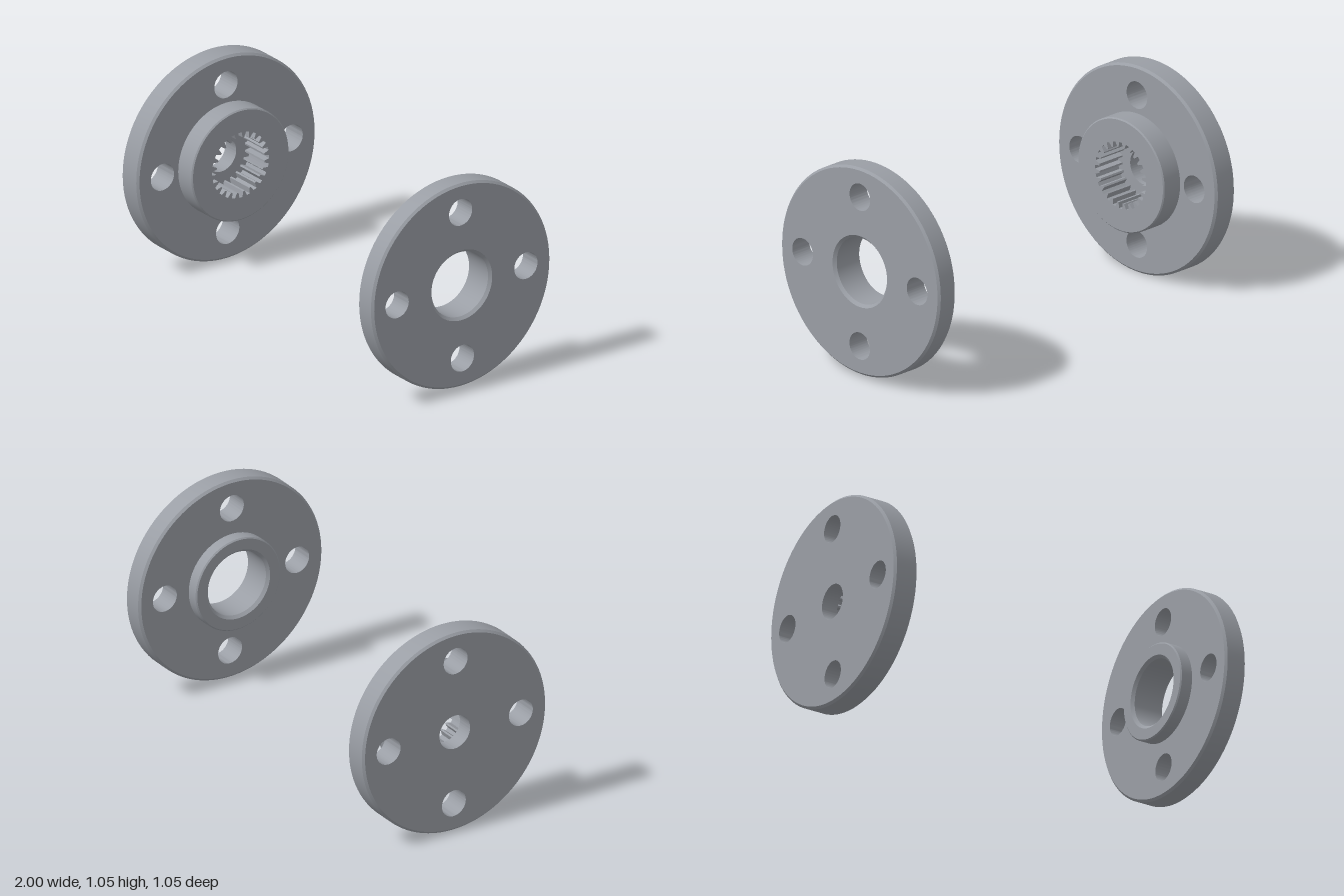
import * as THREE from 'three';
import { toCreasedNormals } from 'three/addons/utils/BufferGeometryUtils.js';

const TAU = Math.PI * 2;

// Closed circular path
function circle(r, cx = 0, cy = 0) {
  return new THREE.Path().absarc(cx, cy, r, 0, TAU, true);
}

// Internal spline outline: flat-topped teeth pointing inwards
function spline(root, tip, teeth) {
  const pts = [];
  const corners = [[-0.2, root], [0.2, root], [0.38, tip], [0.62, tip]];
  for (let i = 0; i < teeth; i++) {
    for (const [f, r] of corners) {
      const a = Math.PI / 2 + ((i + f) / teeth) * TAU;
      pts.push(new THREE.Vector2(Math.cos(a) * r, Math.sin(a) * r));
    }
  }
  return new THREE.Path(pts);
}

export function createModel() {
  const steel = new THREE.MeshStandardMaterial({ color: 0x9a9ea5 });
  steel.name = 'steel grey';

  const DISC_R = 0.514, EDGE = 0.011;
  const BOLT_CIRCLE = 0.371, BOLT_R = 0.067;

  function add(parent, name, geometry) {
    const mesh = new THREE.Mesh(toCreasedNormals(geometry, 0.5), steel);
    mesh.name = name;
    parent.add(mesh);
  }

  // Pierced round plate spanning x0..x1 along the axis
  function plate(parent, name, r, x0, x1, bore, bolted) {
    const shape = new THREE.Shape().absarc(0, 0, r, 0, TAU, false);
    shape.holes.push(bore);
    if (bolted) {
      for (let i = 0; i < 4; i++) {
        const a = (i * Math.PI) / 2;
        shape.holes.push(circle(BOLT_R, Math.cos(a) * BOLT_CIRCLE, Math.sin(a) * BOLT_CIRCLE));
      }
    }
    const g = new THREE.ExtrudeGeometry(shape, { depth: x1 - x0, bevelEnabled: false, curveSegments: 48 });
    g.rotateY(Math.PI / 2);
    g.translate(x0, 0, 0);
    add(parent, name, g);
  }

  // Surface turned around the axis from [radius, x] points
  function turned(parent, name, points) {
    const g = new THREE.LatheGeometry(points.map(([r, x]) => new THREE.Vector2(r, x)), 96);
    g.rotateZ(-Math.PI / 2);
    add(parent, name, g);
  }

  // Outer rim with chamfers c0 and c1 at its two ends
  function rim(parent, name, r, x0, x1, c0, c1) {
    turned(parent, name, [[r - c0, x0], [r, x0 + c0], [r, x1 - c1], [r - c1, x1]]);
  }

  const model = new THREE.Group();
  model.name = 'flangePair';

  // Splined flange: plain floor around a small hole, splined socket in the hub
  const splined = new THREE.Group();
  splined.name = 'splinedFlange';
  const sx = [-0.995, -0.91, -0.866, -0.757];
  const teeth = () => spline(0.165, 0.138, 24);
  plate(splined, 'splinedDiscFloor', DISC_R - EDGE, sx[0], sx[1], circle(0.086), true);
  plate(splined, 'splinedDiscFace', DISC_R - EDGE, sx[1], sx[2], teeth(), true);
  plate(splined, 'splinedHub', 0.274, sx[2], sx[3], teeth(), false);
  rim(splined, 'splinedDiscRim', DISC_R, sx[0], sx[2], EDGE, EDGE);
  rim(splined, 'splinedHubRim', 0.28, sx[2] - 0.001, sx[3], 0, 0.006);

  // Plain flange: smooth bore chamfered at both ends
  const plain = new THREE.Group();
  plain.name = 'plainFlange';
  const px = [0.812, 0.875, 0.99];
  const boreR = 0.163, mouthR = 0.177, c = mouthR - boreR;
  plate(plain, 'plainDisc', DISC_R - EDGE, px[1], px[2], circle(mouthR), true);
  plate(plain, 'plainHub', 0.231, px[0], px[1], circle(mouthR), false);
  rim(plain, 'plainDiscRim', DISC_R, px[1], px[2], EDGE, EDGE);
  rim(plain, 'plainHubRim', 0.237, px[0], px[1] + 0.001, 0.006, 0);
  turned(plain, 'plainBore', [[mouthR, px[2]], [boreR, px[2] - c], [boreR, px[0] + c], [mouthR, px[0]]]);

  // Both flanges share one slightly tilted axis
  const axis = new THREE.Group();
  axis.name = 'sharedAxis';
  axis.add(splined, plain);
  axis.rotation.set(0.0075, -0.0096, 0.0088);
  axis.position.y = 0.525;
  model.add(axis);
  return model;
}
